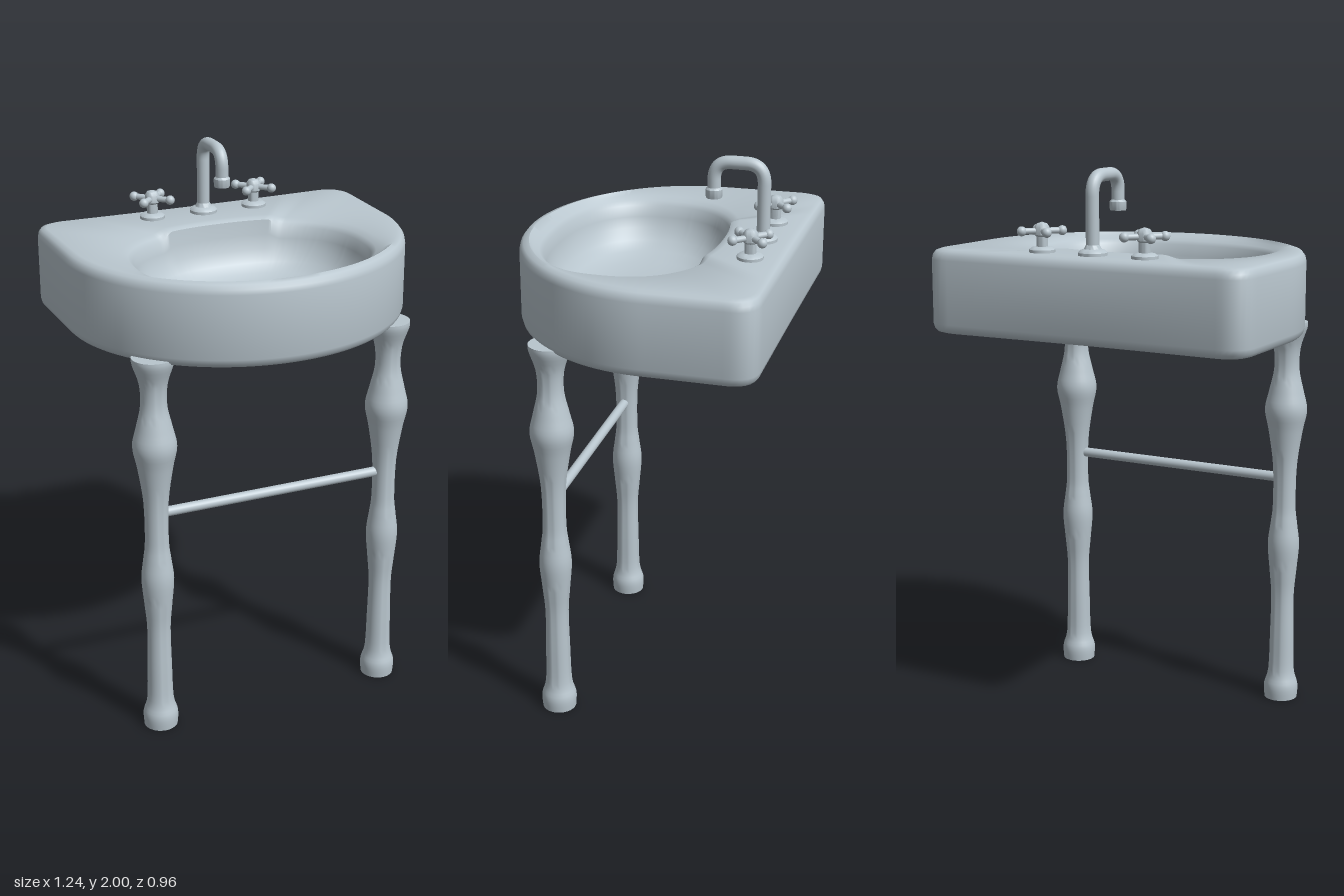
import * as THREE from 'three';
import { toCreasedNormals } from 'three/addons/utils/BufferGeometryUtils.js';

const porcelain = new THREE.MeshStandardMaterial({ color: 0xb9c6ce });
porcelain.name = 'pale grey porcelain';

function add(parent, name, geometry, x = 0, y = 0, z = 0) {
  const mesh = new THREE.Mesh(geometry, porcelain);
  mesh.name = name;
  mesh.position.set(x, y, z);
  parent.add(mesh);
  return mesh;
}

// Lathe from [radius, height] pairs, with edges kept sharp
function turned(pairs, segments = 32) {
  const points = pairs.map(([r, y]) => new THREE.Vector2(r, y));
  return toCreasedNormals(new THREE.LatheGeometry(points, segments), 0.7);
}

// Basin body: rings between a D-shaped outline and an oval bowl
function basinGeometry() {
  const cz = 0.08;
  const outline = new THREE.Shape();
  outline.moveTo(0.62, -0.1);
  outline.absellipse(0, -0.1, 0.62, 0.58, 0, Math.PI, false);
  outline.lineTo(-0.62, -0.4);
  outline.quadraticCurveTo(-0.615, -0.475, -0.54, -0.48);
  outline.lineTo(0.54, -0.48);
  outline.quadraticCurveTo(0.615, -0.475, 0.62, -0.4);
  outline.lineTo(0.62, -0.1);
  const outer = outline.getSpacedPoints(180).slice(0, -1);
  const n = outer.length;

  // [kind, inset from outline or scale of bowl, height, share of the rim drop]
  const rings = [
    ['bowl', 0, 1.416, 0], ['out', 0.035, 1.416, 0], ['out', 0.016, 1.421, 0],
    ['out', 0.005, 1.432, 0], ['out', 0, 1.45, 0], ['out', 0, 1.675, 0],
    ['out', 0.004, 1.692, 0], ['out', 0.015, 1.706, 0], ['out', 0.035, 1.712, 0],
    ['bowl', 1.1, 1.712, 0.45], ['bowl', 1.04, 1.71, 0.75], ['bowl', 1, 1.703, 1],
    ['bowl', 0.975, 1.65, 0.6], ['bowl', 0.94, 1.6, 0.2], ['bowl', 0.87, 1.555, 0],
    ['bowl', 0.77, 1.525, 0], ['bowl', 0.62, 1.505, 0], ['bowl', 0.4, 1.493, 0],
    ['bowl', 0.12, 1.488, 0], ['bowl', 0, 1.488, 0],
  ];
  const positions = [], index = [];
  for (const [kind, amount, y, share] of rings) {
    for (const p of outer) {
      const dx = p.x, dz = p.y - cz, reach = Math.hypot(dx, dz);
      const c = dx / reach, s = dz / reach;
      const oval = Math.pow(Math.pow(Math.abs(c) / 0.415, 2.4) + Math.pow(Math.abs(s) / 0.305, 2.4), -1 / 2.4);
      const r = kind === 'out' ? reach - amount : oval * amount;
      // The rim dips around the bowl except along the tap deck
      const onDeck = s < 0 ? 1 - THREE.MathUtils.smoothstep(Math.abs(c), 0.54, 0.66) : 0;
      positions.push(c * r, y - 0.03 * share * (1 - onDeck), cz + s * r);
    }
  }
  for (let k = 0; k < rings.length - 1; k++) {
    for (let i = 0; i < n; i++) {
      const a = k * n + i, b = k * n + (i + 1) % n;
      if (k > 0) index.push(a, a + n, b);
      if (k < rings.length - 2) index.push(b, a + n, b + n);
      // Close the fans at the two centres
      if (k === rings.length - 2) index.push(a, a + n, b);
    }
  }
  const g = new THREE.BufferGeometry();
  g.setAttribute('position', new THREE.Float32BufferAttribute(positions, 3));
  g.setIndex(index);
  return toCreasedNormals(g, 0.75);
}

// Swan-neck spout with a collar at its mouth
function createSpout() {
  const group = new THREE.Group();
  group.name = 'spout';
  add(group, 'spoutFlange', turned([[0, 0], [0.05, 0], [0.05, 0.014], [0.042, 0.022], [0.03, 0.026], [0.023, 0.04]]), 0, 1.708, -0.365);
  const v = (y, z) => new THREE.Vector3(0, y, z);
  const path = new THREE.CurvePath();
  path.add(new THREE.LineCurve3(v(1.71, -0.365), v(1.91, -0.365)));
  path.add(new THREE.QuadraticBezierCurve3(v(1.91, -0.365), v(1.977, -0.365), v(1.977, -0.30)));
  path.add(new THREE.LineCurve3(v(1.977, -0.30), v(1.977, -0.25)));
  path.add(new THREE.QuadraticBezierCurve3(v(1.977, -0.25), v(1.977, -0.19), v(1.915, -0.19)));
  path.add(new THREE.LineCurve3(v(1.915, -0.19), v(1.86, -0.19)));
  add(group, 'spoutPipe', new THREE.TubeGeometry(path, 64, 0.023, 20));
  add(group, 'spoutCollar', turned([[0, 0], [0.027, 0], [0.029, 0.006], [0.029, 0.03], [0.023, 0.037]]), 0, 1.85, -0.19);
  return group;
}

// Cross-shaped tap handle with ball ends
function createTap(name, x) {
  const tap = new THREE.Group();
  tap.name = name;
  tap.position.set(x, 1.708, -0.365);
  add(tap, 'tapStem', turned([[0, 0], [0.045, 0], [0.045, 0.014], [0.036, 0.021], [0.02, 0.024],
    [0.02, 0.058], [0.026, 0.064], [0.026, 0.09], [0.018, 0.102], [0, 0.108]], 24));
  for (let i = 0; i < 4; i++) {
    const arm = new THREE.Group();
    arm.name = 'tapArm';
    arm.rotation.y = Math.PI / 4 + i * Math.PI / 2;
    add(arm, 'armBar', new THREE.CylinderGeometry(0.011, 0.011, 0.07, 12), 0.035, 0.077, 0).rotation.z = Math.PI / 2;
    add(arm, 'armBall', new THREE.SphereGeometry(0.017, 16, 12), 0.071, 0.077, 0);
    tap.add(arm);
  }
  return tap;
}

// Turned leg: smooth curve through a few radii
function legGeometry() {
  const curve = new THREE.SplineCurve([[0.061, 0], [0.063, 0.05], [0.048, 0.11], [0.044, 0.25], [0.042, 0.4],
    [0.05, 0.5], [0.058, 0.6], [0.049, 0.68], [0.042, 0.75], [0.044, 0.9], [0.062, 1.03], [0.077, 1.11],
    [0.063, 1.18], [0.046, 1.26], [0.049, 1.34], [0.071, 1.41], [0.073, 1.435]].map(([r, y]) => new THREE.Vector2(r, y)));
  const pairs = curve.getPoints(64).map((p) => [p.x, p.y]);
  return turned([[0, 0], ...pairs, [0, 1.435]]);
}

export function createModel() {
  const model = new THREE.Group();
  model.name = 'washbasin';

  add(model, 'basin', basinGeometry());
  add(model, 'drain', new THREE.CylinderGeometry(0.045, 0.045, 0.006, 32), 0, 1.488, 0.08);

  model.add(createSpout(), createTap('leftTap', 0.2), createTap('rightTap', -0.2));

  const leg = legGeometry();
  add(model, 'leftLeg', leg, 0.445, 0, 0.263);
  add(model, 'rightLeg', leg, -0.445, 0, 0.263);
  add(model, 'towelRail', new THREE.CylinderGeometry(0.018, 0.018, 0.86, 20), 0, 0.853, 0.263).rotation.z = Math.PI / 2;

  return model;
}
